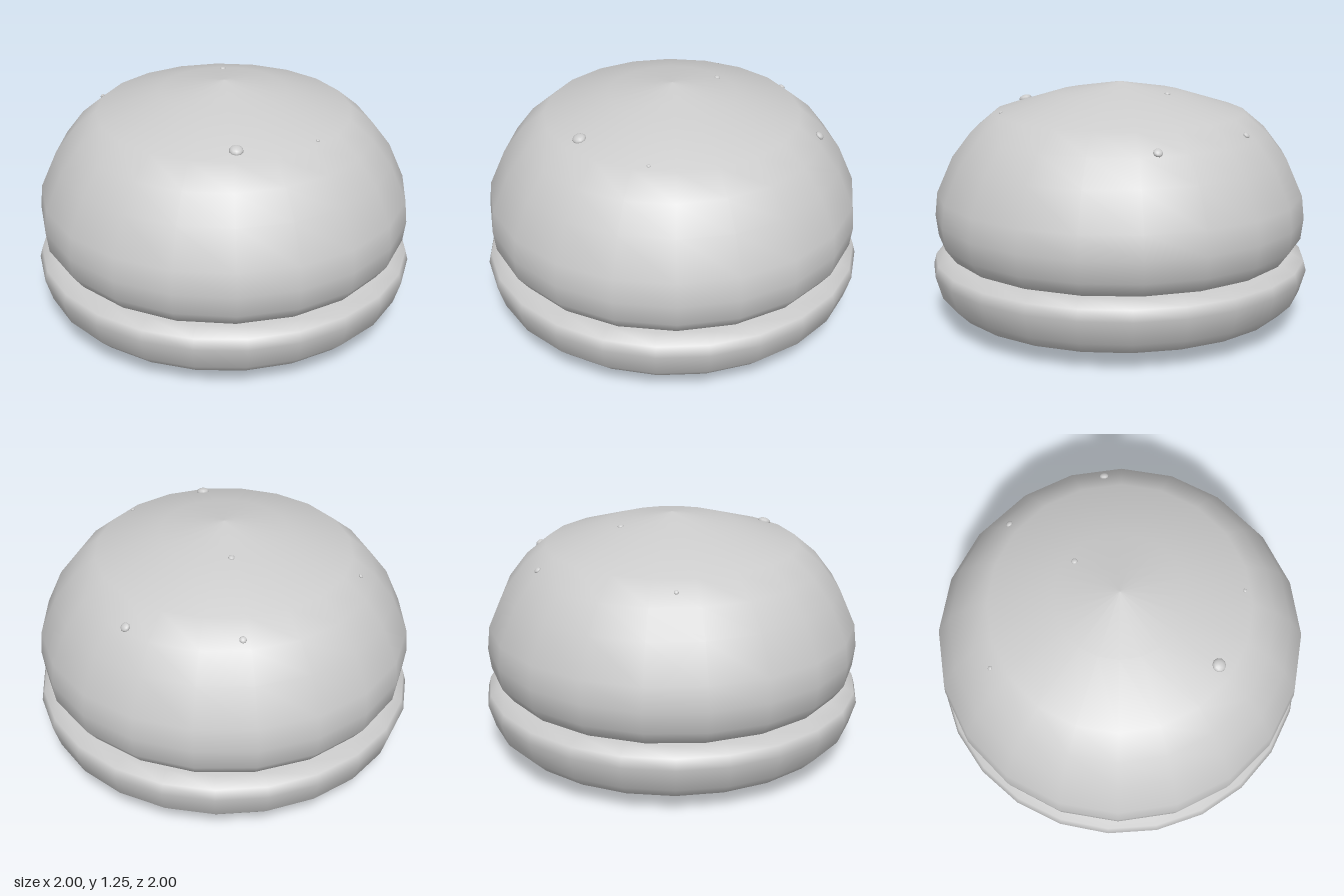
import * as THREE from 'three';

const mat = new THREE.MeshStandardMaterial({ color: 0xcccccc, side: THREE.DoubleSide });

// smooth solid of revolution from [radius, height] points, bottom to top
function turned(name, profile, sides) {
  const pts = profile.map(([r, y]) => new THREE.Vector2(r, y));
  const mesh = new THREE.Mesh(new THREE.LatheGeometry(pts, sides), mat);
  mesh.name = name;
  return mesh;
}

export function createModel() {
  const group = new THREE.Group();
  group.name = 'bun';

  // flat lower half
  group.add(turned('bottomBun', [
    [0, 0.005], [0.4, 0.01], [0.69, 0.02], [0.9, 0.095], [0.965, 0.16], [1, 0.28],
    [0.985, 0.335], [0.92, 0.37], [0.7, 0.375], [0, 0.375],
  ], 24));

  // domed upper half
  const dome = [
    [0.91, 0.375], [0.965, 0.45], [0.978, 0.56], [0.965, 0.68], [0.88, 0.87],
    [0.78, 1.0], [0.66, 1.1], [0.33, 1.2], [0, 1.255],
  ];
  group.add(turned('topBun', [[0, 0.372], [0.8, 0.372], ...dome], 20));

  // seeds sunk into the dome: x, z, size
  const seeds = [
    [-0.16, 0.56, 0.035], [0.69, -0.32, 0.024], [0.26, -0.69, 0.018],
    [0.1, -0.27, 0.016], [-0.51, -0.5, 0.012], [0.26, 0.57, 0.01],
  ];
  const seedGeo = new THREE.SphereGeometry(1, 10, 8);
  for (const [x, z, s] of seeds) {
    const r = Math.hypot(x, z);
    const i = dome.findIndex((p, k) => k > 3 && p[0] <= r);
    const [r0, y0] = dome[i - 1], [r1, y1] = dome[i];
    const y = y0 + (y1 - y0) * (r0 - r) / (r0 - r1);
    const normal = new THREE.Vector3(x / r * (y1 - y0), r0 - r1, z / r * (y1 - y0)).normalize();
    const seed = new THREE.Mesh(seedGeo, mat);
    seed.name = 'seed';
    seed.scale.set(s, s * 0.6, s);
    seed.position.set(x, y, z);
    seed.quaternion.setFromUnitVectors(new THREE.Vector3(0, 1, 0), normal);
    group.add(seed);
  }
  return group;
}
